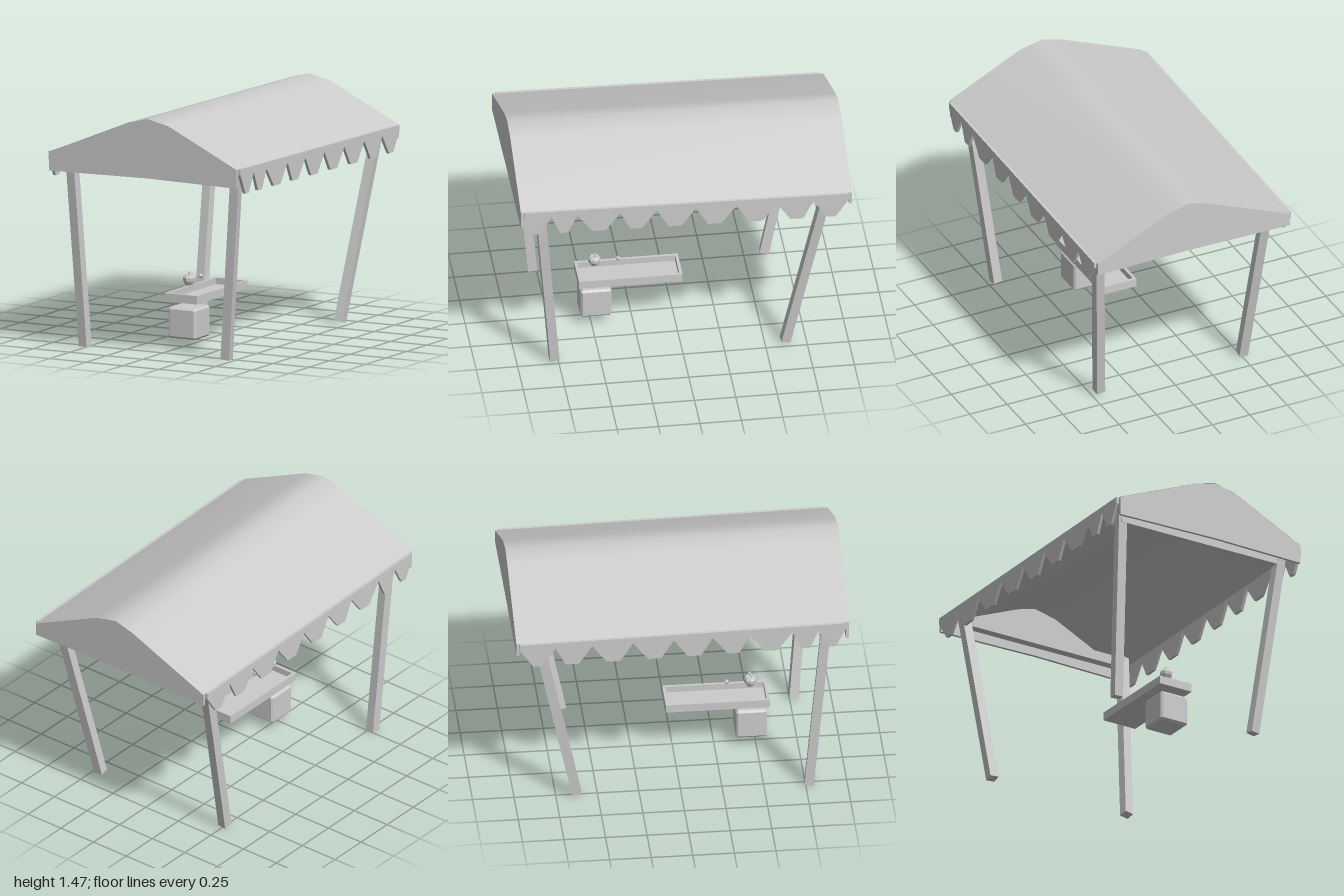
import * as THREE from 'three';
import { ConvexGeometry } from 'three/addons/geometries/ConvexGeometry.js';

const flat = new THREE.MeshStandardMaterial({ color: 0xcccccc, flatShading: true, side: THREE.DoubleSide });
const smooth = new THREE.MeshStandardMaterial({ color: 0xcccccc, side: THREE.DoubleSide });

// Roof cross-section at the front; the whole roof drops slightly toward the back
const PROFILE = [[-0.641, 1.207], [-0.095, 1.432], [0.03, 1.465], [0.175, 1.432], [0.641, 1.207]];
const drop = (z) => (1 - z) * 0.0175;

function add(parent, name, geometry, material, x = 0, y = 0, z = 0) {
  const mesh = new THREE.Mesh(geometry, material);
  mesh.name = name;
  mesh.position.set(x, y, z);
  parent.add(mesh);
  return mesh;
}

function box(parent, name, x0, x1, y0, y1, z0, z1) {
  return add(parent, name, new THREE.BoxGeometry(x1 - x0, y1 - y0, z1 - z0), flat,
    (x0 + x1) / 2, (y0 + y1) / 2, (z0 + z1) / 2);
}

// Square post between two points, twisted a little about its own axis
function post(parent, name, bottom, top, twist) {
  const a = new THREE.Vector3(...bottom), b = new THREE.Vector3(...top);
  const dir = b.clone().sub(a);
  const geometry = new THREE.BoxGeometry(0.056, dir.length(), 0.056).rotateY(twist);
  const mesh = add(parent, name, geometry, flat);
  mesh.position.copy(a).add(b).multiplyScalar(0.5);
  mesh.quaternion.setFromUnitVectors(new THREE.Vector3(0, 1, 0), dir.normalize());
}

// Sheet following the roof profile between z = -end and z = end
function roofSheet(end) {
  const positions = [], index = [];
  for (const z of [end, -end]) for (const [x, y] of PROFILE) positions.push(x, y - drop(z), z);
  const n = PROFILE.length;
  for (let i = 0; i < n - 1; i++) index.push(i, i + 1, n + i, i + 1, n + i + 1, n + i);
  const g = new THREE.BufferGeometry();
  g.setAttribute('position', new THREE.Float32BufferAttribute(positions, 3));
  g.setIndex(index);
  g.computeVertexNormals();
  return g;
}

// End panel closing the roof, with a barely arched lower edge
function gable(d) {
  const s = new THREE.Shape();
  s.moveTo(-0.641, 1.092);
  for (const [x, y] of PROFILE) s.lineTo(x, y - d - 0.001);
  s.lineTo(0.641, 1.092);
  s.lineTo(0.03, 1.102);
  return new THREE.ExtrudeGeometry(s, { depth: 0.018, bevelEnabled: false });
}

// Hanging side cloth with uneven cut teeth: notch z, then the two lower corners
function valance() {
  const teeth = [
    [0.98, 0.92, 0.88], [0.817, 0.765, 0.715], [0.66, 0.57, 0.49], [0.40, 0.34, 0.27], [0.18, 0.11, 0.03],
    [-0.055, -0.13, -0.21], [-0.30, -0.375, -0.46], [-0.545, -0.625, -0.705], [-0.765, -0.85, -0.90],
  ];
  const s = new THREE.Shape();
  s.moveTo(-0.98, 1.207 - drop(-0.98));
  s.lineTo(0.98, 1.207);
  for (const [notch, a, b] of teeth) {
    s.lineTo(notch, 1.17 - drop(notch));
    s.lineTo(a, 1.052 - drop(a));
    s.lineTo(b, 1.052 - drop(b));
  }
  s.lineTo(-0.98, 1.17 - drop(-0.98));
  const g = new THREE.ExtrudeGeometry(s, { depth: 0.018, bevelEnabled: false });
  return g.rotateY(-Math.PI / 2); // shape x becomes z, depth runs toward -x
}

// Cube with every edge cut at 45 degrees
function chamferedCube(half, cut) {
  const points = [], signs = [-1, 1], inner = half - cut;
  for (const i of signs) for (const j of signs) for (const k of signs) {
    points.push(new THREE.Vector3(i * half, j * inner, k * inner));
    points.push(new THREE.Vector3(i * inner, j * half, k * inner));
    points.push(new THREE.Vector3(i * inner, j * inner, k * half));
  }
  return new ConvexGeometry(points);
}

export function createModel() {
  const model = new THREE.Group();
  model.name = 'marketStall';

  // Canopy: outer sheet, lining just below it, ends and sides
  const canopy = new THREE.Group();
  canopy.name = 'canopy';
  model.add(canopy);
  add(canopy, 'roof', roofSheet(1), smooth);
  add(canopy, 'roofLining', roofSheet(0.985), smooth, 0, -0.02, 0);
  add(canopy, 'frontGable', gable(0), flat, 0, 0, 0.982);
  add(canopy, 'backGable', gable(drop(-1)), flat, 0, 0, -1);
  add(canopy, 'leftValance', valance(), flat, 0.658, 0, 0);
  add(canopy, 'rightValance', valance(), flat, -0.64, 0, 0);

  // Leaning posts and the beams joining them
  const frame = new THREE.Group();
  frame.name = 'frame';
  model.add(frame);
  post(frame, 'frontRightPost', [-0.521, 0.003, 0.772], [-0.556, 1.17, 0.875], -0.08);
  post(frame, 'frontLeftPost', [0.447, 0.006, 0.773], [0.573, 1.17, 0.876], 0.08);
  post(frame, 'backRightPost', [-0.506, 0.016, -0.624], [-0.553, 1.17, -0.866], -0.08);
  post(frame, 'backLeftPost', [0.448, 0.016, -0.622], [0.573, 1.17, -0.864], 0.08);
  box(frame, 'frontBeam', -0.57, 0.57, 1.1, 1.16, 0.845, 0.9);
  box(frame, 'backBeam', -0.57, 0.57, 1.1, 1.16, -0.885, -0.83);

  // Chamfered crate
  add(model, 'crate', chamferedCube(0.094, 0.012), flat, 0.025, 0.151, 0.473);

  // Open display tray
  const tray = new THREE.Group();
  tray.name = 'tray';
  model.add(tray);
  const [x0, x1, y0, y1, z0, z1, t] = [-0.088, 0.137, 0.279, 0.33, -0.046, 0.58, 0.018];
  box(tray, 'trayFloor', x0, x1, y0, y0 + 0.012, z0, z1);
  box(tray, 'traySide', x0, x0 + t, y0, y1, z0, z1);
  box(tray, 'traySide', x1 - t, x1, y0, y1, z0, z1);
  box(tray, 'trayEnd', x0 + t, x1 - t, y0, y1, z0, z0 + t);
  box(tray, 'trayEnd', x0 + t, x1 - t, y0, y1, z1 - t, z1);

  // Low-poly apple with stem and leaf
  const apple = new THREE.Group();
  apple.name = 'apple';
  apple.position.set(0.024, 0.373, 0.473);
  model.add(apple);
  const outline = [[0, 0.004], [0.022, 0], [0.036, 0.024], [0.038, 0.045], [0.028, 0.06], [0.014, 0.06], [0, 0.052]]
    .map(([r, y]) => new THREE.Vector2(r, y));
  add(apple, 'appleBody', new THREE.LatheGeometry(outline, 8), flat);
  add(apple, 'appleStem', new THREE.CylinderGeometry(0.004, 0.003, 0.03, 5), flat, 0, 0.066, 0);
  const leafShape = new THREE.Shape([[0, 0], [0.014, 0.013], [0.032, 0], [0.014, -0.013]]
    .map(([x, y]) => new THREE.Vector2(x, y)));
  const leaf = add(apple, 'appleLeaf', new THREE.ShapeGeometry(leafShape), flat, 0, 0.075, 0);
  leaf.rotation.x = -1.1;

  // Small berry behind the apple
  add(model, 'berry', new THREE.IcosahedronGeometry(0.015, 0), flat, 0.024, 0.405, 0.33);

  return model;
}
